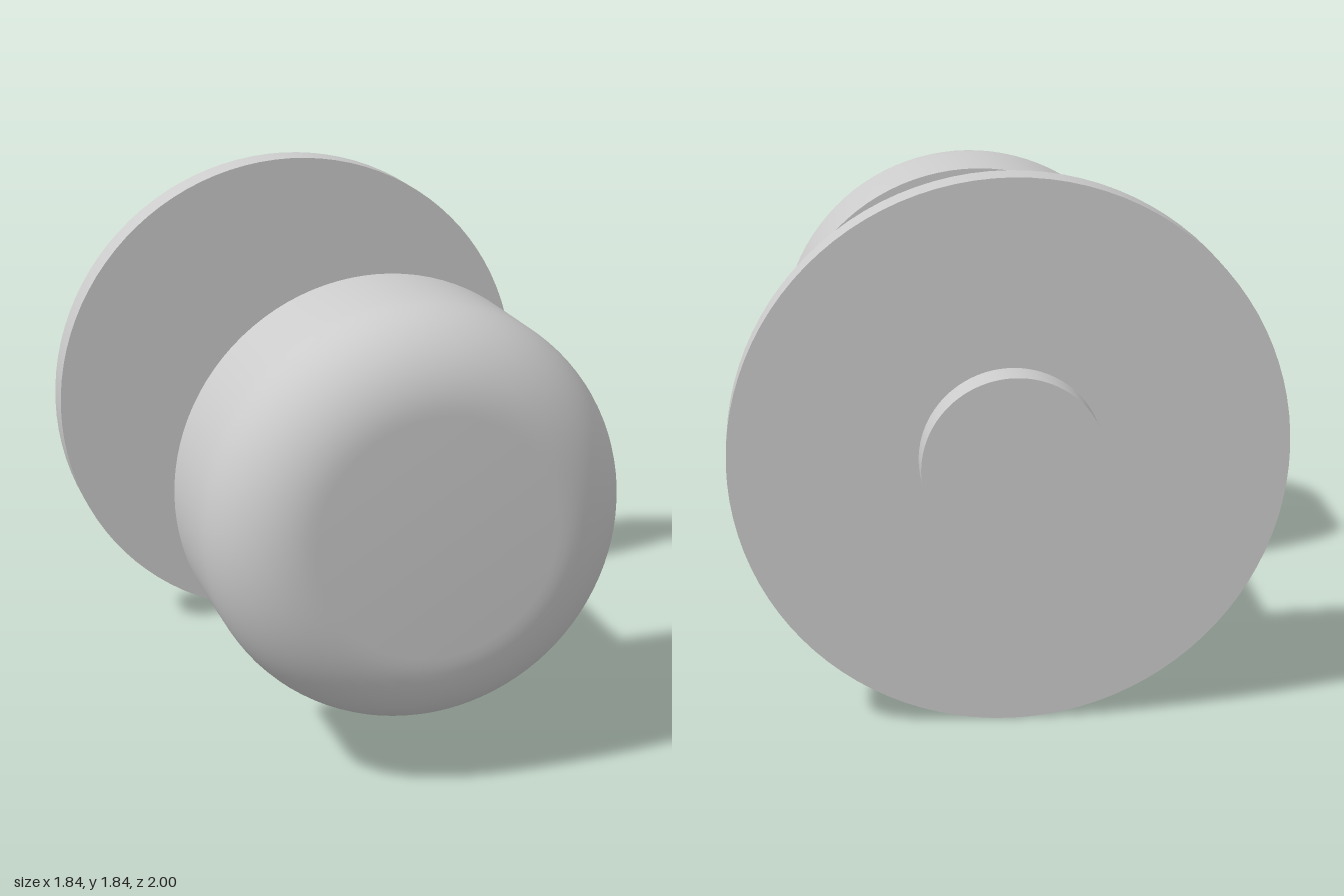
import * as THREE from 'three';
import { toCreasedNormals } from 'three/addons/utils/BufferGeometryUtils.js';

const AXIS_Y = 0.922;
const SEGMENTS = 96;

export function createModel() {
  const group = new THREE.Group();
  const material = new THREE.MeshStandardMaterial({ color: 0xcccccc });

  // Turns a part built along y so that its axis runs towards the front (+z)
  const addPart = (name, geometry, z = 0) => {
    geometry.rotateX(Math.PI / 2);
    const mesh = new THREE.Mesh(geometry, material);
    mesh.name = name;
    mesh.position.set(0, AXIS_Y, z);
    group.add(mesh);
  };
  const addDisc = (name, radius, back, front) =>
    addPart(name, new THREE.CylinderGeometry(radius, radius, front - back, SEGMENTS), (back + front) / 2);

  // Head: flat back, straight side, rounded front rim, flat face
  const radius = 0.724, back = 0.336, front = 1, fillet = 0.31;
  const profile = [new THREE.Vector2(0, back), new THREE.Vector2(radius, back)];
  const steps = 16;
  for (let i = 0; i <= steps; i++) {
    const a = (i / steps) * Math.PI / 2;
    profile.push(new THREE.Vector2(
      radius - fillet + fillet * Math.cos(a),
      front - fillet + fillet * Math.sin(a)));
  }
  profile.push(new THREE.Vector2(0, front));
  addPart('head', toCreasedNormals(new THREE.LatheGeometry(profile, SEGMENTS), Math.PI / 6));

  // Shaft passes through the flange and ends just behind it
  addDisc('shaft', 0.302, -1, back);
  addDisc('flange', 0.922, -0.88, -0.757);

  return group;
}
